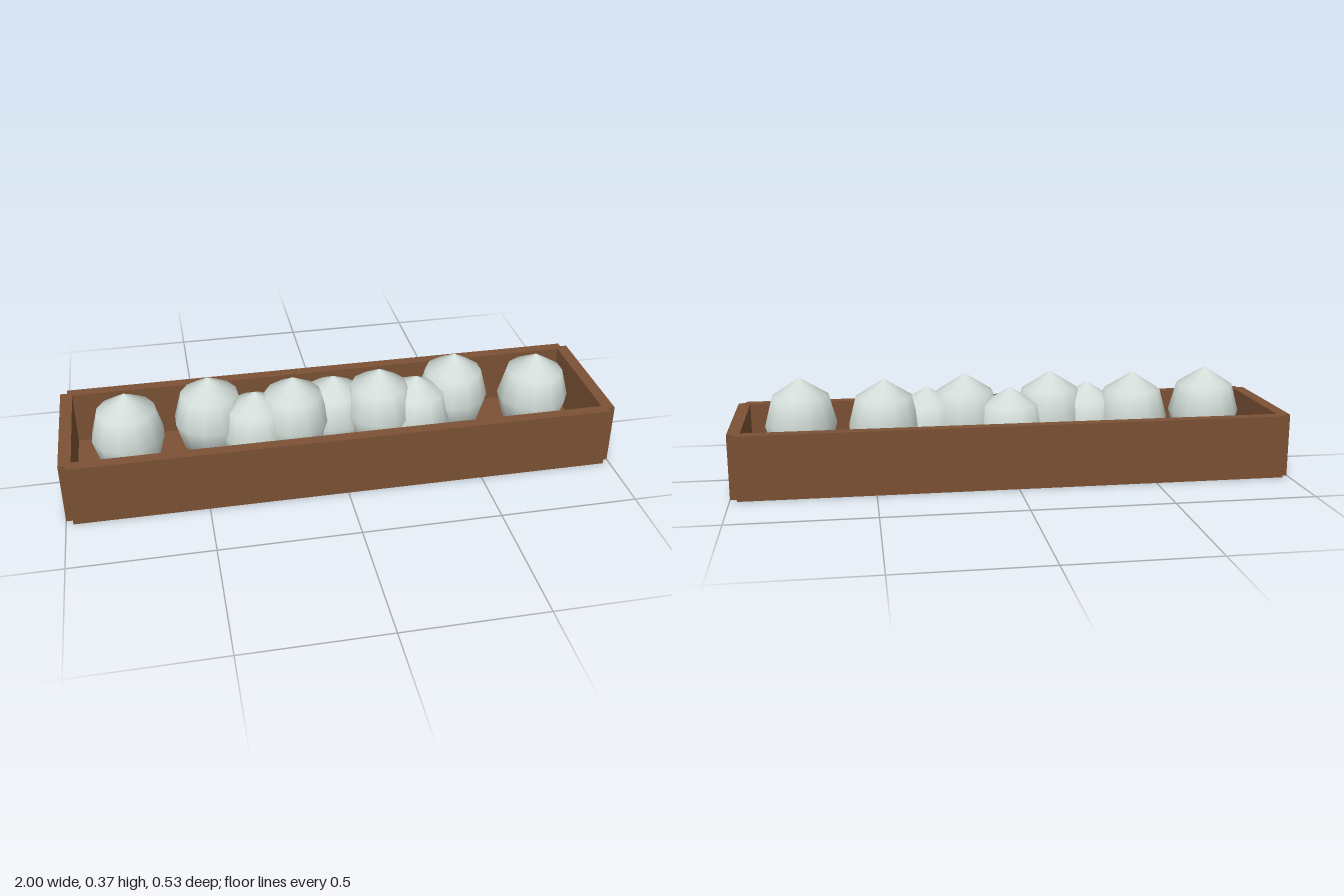
import * as THREE from 'three';

export function createModel() {
  const group = new THREE.Group();
  const wood = new THREE.MeshStandardMaterial({ color: 0x7b5134 });
  wood.name = 'brown wood';
  const stone = new THREE.MeshStandardMaterial({ color: 0xd3ddd8 });
  stone.name = 'pale grey green';

  const board = (name, w, h, d, x, y, z) => {
    const mesh = new THREE.Mesh(new THREE.BoxGeometry(w, h, d), wood);
    mesh.name = name;
    mesh.position.set(x, y + h / 2, z);
    group.add(mesh);
  };

  // Trough: floor, two long walls and two end walls with stepped corners
  const height = 0.23;
  board('floor', 1.95, 0.03, 0.484, 0, 0, 0);
  for (const s of [-1, 1]) {
    board(s > 0 ? 'frontWall' : 'backWall', 1.95, height, 0.042, 0, 0, s * 0.244);
    board(s > 0 ? 'leftEndWall' : 'rightEndWall', 0.044, height, 0.484, s * 0.978, 0, 0);
  }

  // Egg-shaped ball with twelve sides and few rings, origin at its base
  const profile = [[0, 0], [0.104, 0.065], [0.132, 0.167], [0.104, 0.27], [0, 0.335]]
    .map(([r, y]) => new THREE.Vector2(r, y));
  const ballGeometry = new THREE.LatheGeometry(profile, 12);
  ballGeometry.rotateY(Math.PI / 12);

  // Row of balls: x, z and base height; the lower ones sink into the floor
  const balls = [
    [-0.76, 0.028, 0.03], [-0.46, -0.03, 0.03], [-0.3, 0.028, -0.015],
    [-0.16, 0.028, 0.03], [0, -0.03, -0.015], [0.16, 0.028, 0.03],
    [0.3, 0.028, -0.015], [0.46, -0.03, 0.03], [0.76, 0.028, 0.03],
  ];
  for (const [x, z, base] of balls) {
    const ball = new THREE.Mesh(ballGeometry, stone);
    ball.name = 'ball';
    // Lower balls are shortened so that they stay above the underside
    const low = Math.max(0, 0.005 - base);
    ball.scale.y = (0.335 - low) / 0.335;
    ball.position.set(x, base + low, z);
    group.add(ball);
  }
  return group;
}
